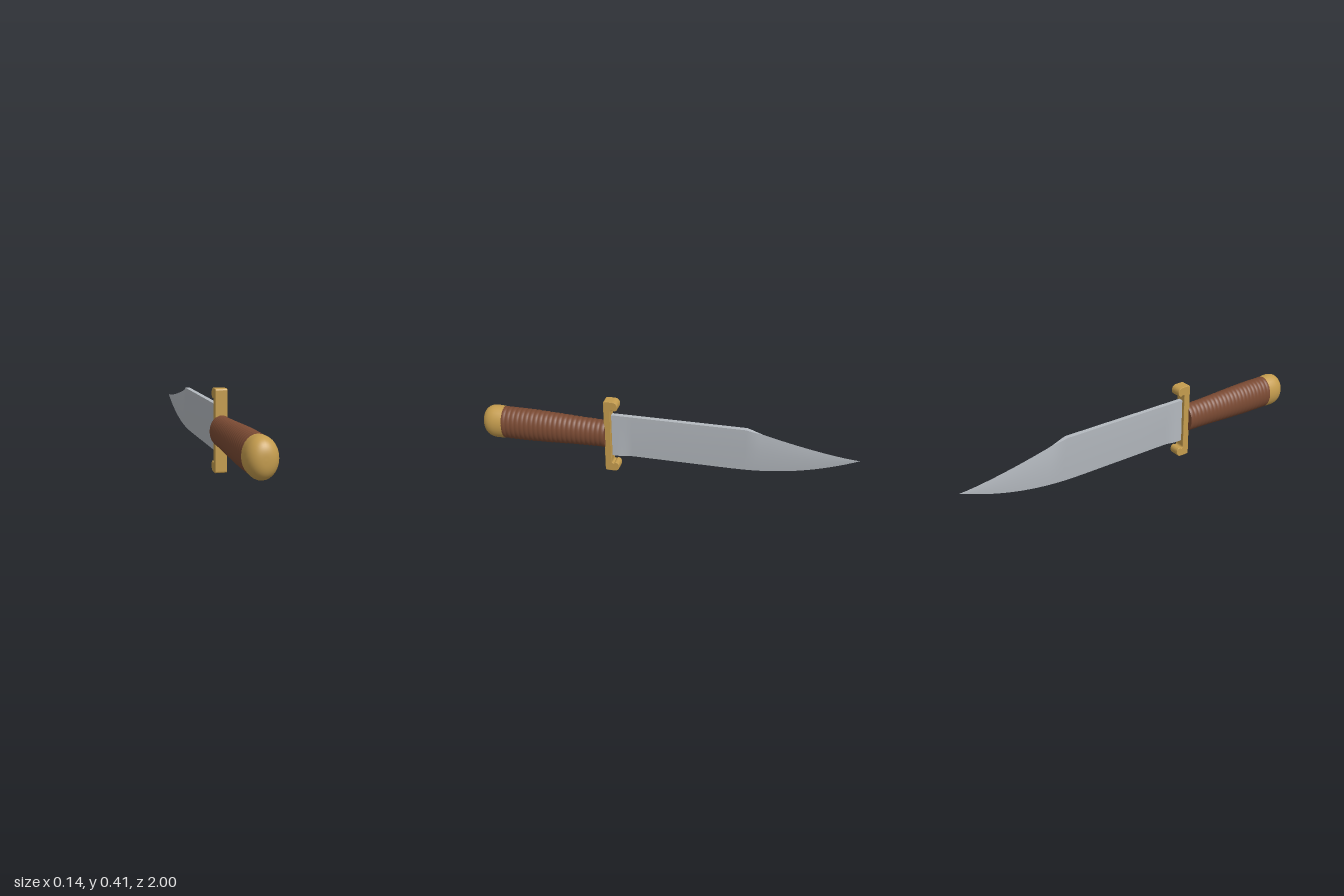
import * as THREE from 'three';

const CY = 0.21; // height of the long axis
const brass = new THREE.MeshStandardMaterial({ color: 0xc49c4e });
brass.name = 'brass';
const leather = new THREE.MeshStandardMaterial({ color: 0x7a4a33 });
leather.name = 'brown leather';
const steel = new THREE.MeshStandardMaterial({ color: 0xb4b9bf });
steel.name = 'steel';

function part(name, geometry, material) {
  const mesh = new THREE.Mesh(geometry, material);
  mesh.name = name;
  return mesh;
}

// Oval turned body along z from [radius, z] pairs
function turned(points, segments) {
  const g = new THREE.LatheGeometry(points.map(([r, z]) => new THREE.Vector2(r, z)), segments);
  g.rotateX(Math.PI / 2);
  g.scale(0.775, 1, 1);
  g.translate(0, CY, 0);
  return g;
}

// Ridged grip that swells towards the pommel
function gripGeometry() {
  const rings = 22, steps = 6, z0 = 0.31, z1 = 0.885;
  const pts = [[0, z0], [0.074, z0], [0.074, z0]];
  for (let i = 0; i <= rings * steps; i++) {
    const t = i / (rings * steps);
    const swell = 0.074 + 0.015 * THREE.MathUtils.smoothstep(t, 0, 0.85);
    const ridge = 0.003 * Math.abs(Math.sin(Math.PI * i / steps));
    pts.push([swell + ridge, z0 + 0.0005 + t * (z1 - z0)]);
  }
  return turned(pts, 40);
}

// Rounded pommel cap
function pommelGeometry() {
  const pts = [[0.085, 0.88], [0.0905, 0.88], [0.0905, 0.88], [0.093, 0.905]];
  for (let i = 0; i <= 14; i++) {
    const a = (i / 14) * Math.PI / 2;
    pts.push([0.0935 * Math.pow(Math.max(Math.cos(a), 0), 0.75), 0.925 + 0.075 * Math.pow(Math.sin(a), 0.9)]);
  }
  pts[pts.length - 1][0] = 0;
  return turned(pts, 28);
}

// Cross guard: side profile with both ends hooked towards the blade
function guardGeometry() {
  const b = 0.003, top = 0.2075 - b;
  const s = new THREE.Shape();
  const back = 0.315 - b, front = 0.278 + b, tip = 0.238 + b;
  s.moveTo(back, -top + 0.008);
  s.lineTo(back, top - 0.008);
  s.quadraticCurveTo(back, top, back - 0.008, top);
  s.lineTo(0.268, top);
  s.bezierCurveTo(0.25, top, tip, top - 0.01, tip, top - 0.026);
  s.bezierCurveTo(tip, top - 0.05, 0.262, top - 0.05, 0.265, top - 0.041);
  s.quadraticCurveTo(front, top - 0.04, front, top - 0.058);
  s.lineTo(front, -top + 0.058);
  s.quadraticCurveTo(front, -top + 0.04, 0.265, -top + 0.041);
  s.bezierCurveTo(0.262, -top + 0.05, tip, -top + 0.05, tip, -top + 0.026);
  s.bezierCurveTo(tip, -top + 0.01, 0.25, -top, 0.268, -top);
  s.lineTo(back - 0.008, -top);
  s.quadraticCurveTo(back, -top, back, -top + 0.008);
  const depth = 0.06 - 2 * b;
  const g = new THREE.ExtrudeGeometry(s, {
    depth, bevelEnabled: true, bevelSize: b, bevelThickness: b, bevelSegments: 2, curveSegments: 10,
  });
  g.translate(0, 0.2075, -depth / 2);
  g.rotateY(-Math.PI / 2);
  return g;
}

// Blade outline and thickness at a given z
function bladeSection(z) {
  const clip = Math.max(0, (-0.43 - z) / 0.57);
  const belly = Math.max(0, (-0.35 - z) / 0.65);
  const yTop = 0.22 + 0.11 * Math.pow(Math.max(0, 1 - clip), 1.4);
  const yEdge = 0.087 + 0.133 * Math.pow(belly, 2.2);
  const taper = 1 - Math.pow(clip, 1.3);
  const ricasso = THREE.MathUtils.smoothstep(z, 0.17, 0.25);
  const spine = 0.0125 * (1 - THREE.MathUtils.smoothstep(-z, 0.43, 0.53));
  return {
    top: [spine, yTop],
    mid: [(0.0105 + 0.002 * ricasso) * taper, yEdge + (yTop - yEdge) * 0.55],
    edge: [0.0125 * ricasso, yEdge],
  };
}

// Smooth surface joining rows of points taken along the blade
function strip(stations, row) {
  const pos = [], index = [];
  let n = 0;
  stations.forEach((z) => {
    const pts = row(bladeSection(z));
    n = pts.length;
    pts.forEach(([x, y]) => pos.push(x, y, z));
  });
  for (let i = 0; i < stations.length - 1; i++) {
    for (let j = 0; j < n - 1; j++) {
      const a = i * n + j, c = a + n;
      index.push(a, a + 1, c, a + 1, c + 1, c);
    }
  }
  const g = new THREE.BufferGeometry();
  g.setAttribute('position', new THREE.Float32BufferAttribute(pos, 3));
  g.setIndex(index);
  g.computeVertexNormals();
  return g;
}

function createBlade() {
  const stations = [0.29, 0.25, 0.23, 0.21, 0.19, 0.17, 0, -0.2, -0.35];
  for (let i = 0; i <= 28; i++) stations.push(-0.43 - 0.57 * i / 28);
  const flip = ([x, y]) => [-x, y];
  const blade = new THREE.Group();
  blade.name = 'blade';
  blade.add(
    part('bladeLeftFace', strip(stations, (s) => [s.edge, s.mid, s.top].reverse()), steel),
    part('bladeRightFace', strip(stations, (s) => [s.edge, s.mid, s.top].map(flip)), steel),
    part('bladeSpine', strip(stations.filter((z) => z > -0.56), (s) => [flip(s.top), s.top]), steel),
    part('ricassoBase', strip(stations.filter((z) => z > 0.16), (s) => [s.edge, flip(s.edge)]), steel),
  );
  return blade;
}

export function createModel() {
  const model = new THREE.Group();
  model.name = 'knife';
  model.add(
    createBlade(),
    part('crossGuard', guardGeometry(), brass),
    part('grip', gripGeometry(), leather),
    part('pommel', pommelGeometry(), brass),
  );
  return model;
}
